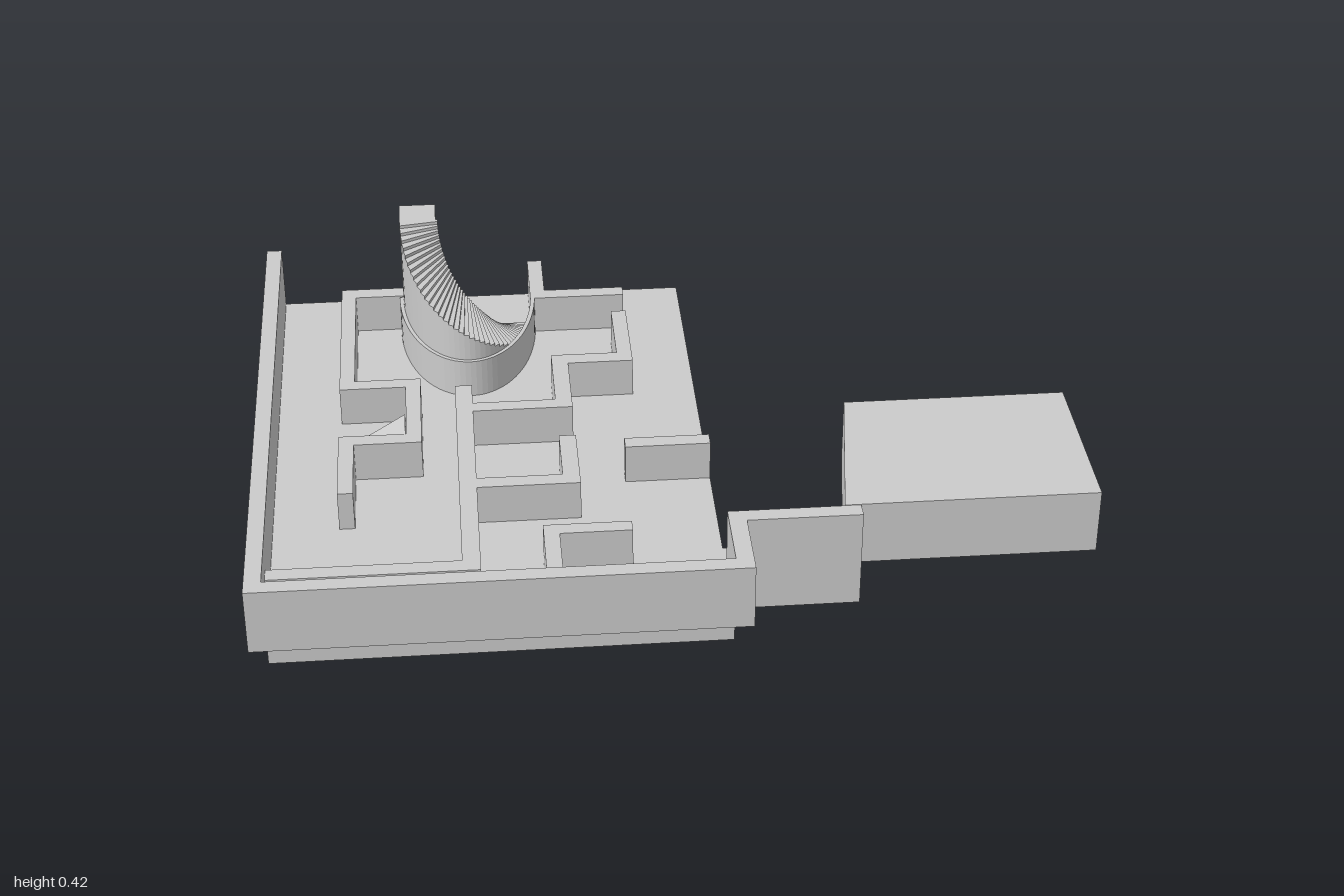
import * as THREE from 'three';

const material = new THREE.MeshStandardMaterial({ color: 0xcccccc, flatShading: true });
const FLOOR = 0.087, LOW = 0.19, HIGH = 0.253;

// Box given by its limits on each axis
function block(name, x0, x1, y0, y1, z0, z1) {
  const mesh = new THREE.Mesh(new THREE.BoxGeometry(x1 - x0, y1 - y0, z1 - z0), material);
  mesh.position.set((x0 + x1) / 2, (y0 + y1) / 2, (z0 + z1) / 2);
  mesh.name = name;
  return mesh;
}

// Upright prism over a plan outline of [x, z] points
function prism(name, plan, y0, y1) {
  const shape = new THREE.Shape(plan.map(([x, z]) => new THREE.Vector2(x, -z)));
  const geometry = new THREE.ExtrudeGeometry(shape, { depth: y1 - y0, bevelEnabled: false });
  geometry.rotateX(-Math.PI / 2).translate(0, y0, 0);
  const mesh = new THREE.Mesh(geometry, material);
  mesh.name = name;
  return mesh;
}

// Point on the stair's ellipses
const arc = (a, b, t) => [-0.465 + a * Math.cos(t), -0.61 + b * Math.sin(t)];

function createStair() {
  const stair = new THREE.Group();
  stair.name = 'curvedStair';
  const steps = 40;
  const outer = [], inner = [];
  for (let i = 0; i < steps; i++) {
    const t0 = Math.PI * i / steps, t1 = Math.PI * (i + 1) / steps;
    const plan = [arc(0.07, 0.13, t0), arc(0.17, 0.335, t0), arc(0.17, 0.335, t1), arc(0.07, 0.13, t1)];
    stair.add(prism('step', plan, FLOOR, FLOOR + 0.335 * (i + 1) / steps));
  }
  // Low rim hugging the outside of the steps
  for (let i = 0; i <= steps; i++) {
    const t = Math.PI * i / steps;
    outer.push(arc(0.18, 0.345, t));
    inner.unshift(arc(0.169, 0.333, t));
  }
  stair.add(prism('stairRim', [...outer, ...inner], FLOOR, LOW));
  stair.add(block('landing', -0.635, -0.54, 0.402, 0.422, -0.695, -0.61));
  return stair;
}

export function createModel() {
  const model = new THREE.Group();
  model.name = 'mazeBuilding';

  // Floor slab and tall outer walls
  model.add(block('floorSlab', -0.96, 0.113, 0.022, FLOOR, -0.777, 0.738));
  model.add(block('sideWall', -1, -0.96, FLOOR, HIGH, -0.78, 0.777));
  model.add(block('frontWall', -0.96, 0.155, FLOOR, HIGH, 0.737, 0.777));
  model.add(block('returnWall', 0.113, 0.155, FLOOR, HIGH, 0.55, 0.737));

  // Passage leading to the side block
  model.add(block('passageWall', 0.113, 0.428, 0, HIGH, 0.55, 0.59));
  model.add(block('passageFloor', 0.113, 0.4, 0, FLOOR, 0.465, 0.55));
  model.add(prism('sideBlock', [[0.45, 0.105], [1, 0.105], [1, 0.548], [0.39, 0.548]], FLOOR, HIGH));

  // Low inner walls: x from, x to, z from, z to
  const walls = [
    [-0.96, -0.465, 0.605, 0.645], [-0.508, -0.465, -0.152, 0.605],
    [-0.465, -0.215, 0.27, 0.31], [-0.257, -0.215, 0.1, 0.27],
    [-0.465, -0.215, -0.068, -0.03], [-0.257, -0.215, -0.28, -0.068],
    [-0.215, -0.048, -0.28, -0.238], [-0.087, -0.048, -0.49, -0.28],
    [-0.297, -0.258, -0.777, -0.575], [-0.258, -0.048, -0.615, -0.575],
    [-0.097, 0.113, 0.125, 0.165],
    [-0.315, -0.277, 0.48, 0.737], [-0.277, -0.105, 0.48, 0.517],
    [-0.8, -0.762, -0.66, -0.157], [-0.762, -0.635, -0.66, -0.617],
    [-0.762, -0.595, -0.195, -0.157], [-0.633, -0.595, -0.157, 0.1],
    [-0.8, -0.633, 0.06, 0.1], [-0.8, -0.762, 0.1, 0.31],
  ];
  for (const [x0, x1, z0, z1] of walls) model.add(block('innerWall', x0, x1, FLOOR, LOW, z0, z1));

  // Small ramp rising toward the inner wall
  const wedge = new THREE.Shape([
    new THREE.Vector2(-0.8, FLOOR), new THREE.Vector2(-0.635, FLOOR), new THREE.Vector2(-0.635, LOW),
  ]);
  const ramp = new THREE.Mesh(new THREE.ExtrudeGeometry(wedge, { depth: 0.09, bevelEnabled: false }), material);
  ramp.position.z = -0.03;
  ramp.name = 'ramp';
  model.add(ramp);

  model.add(createStair());
  return model;
}
